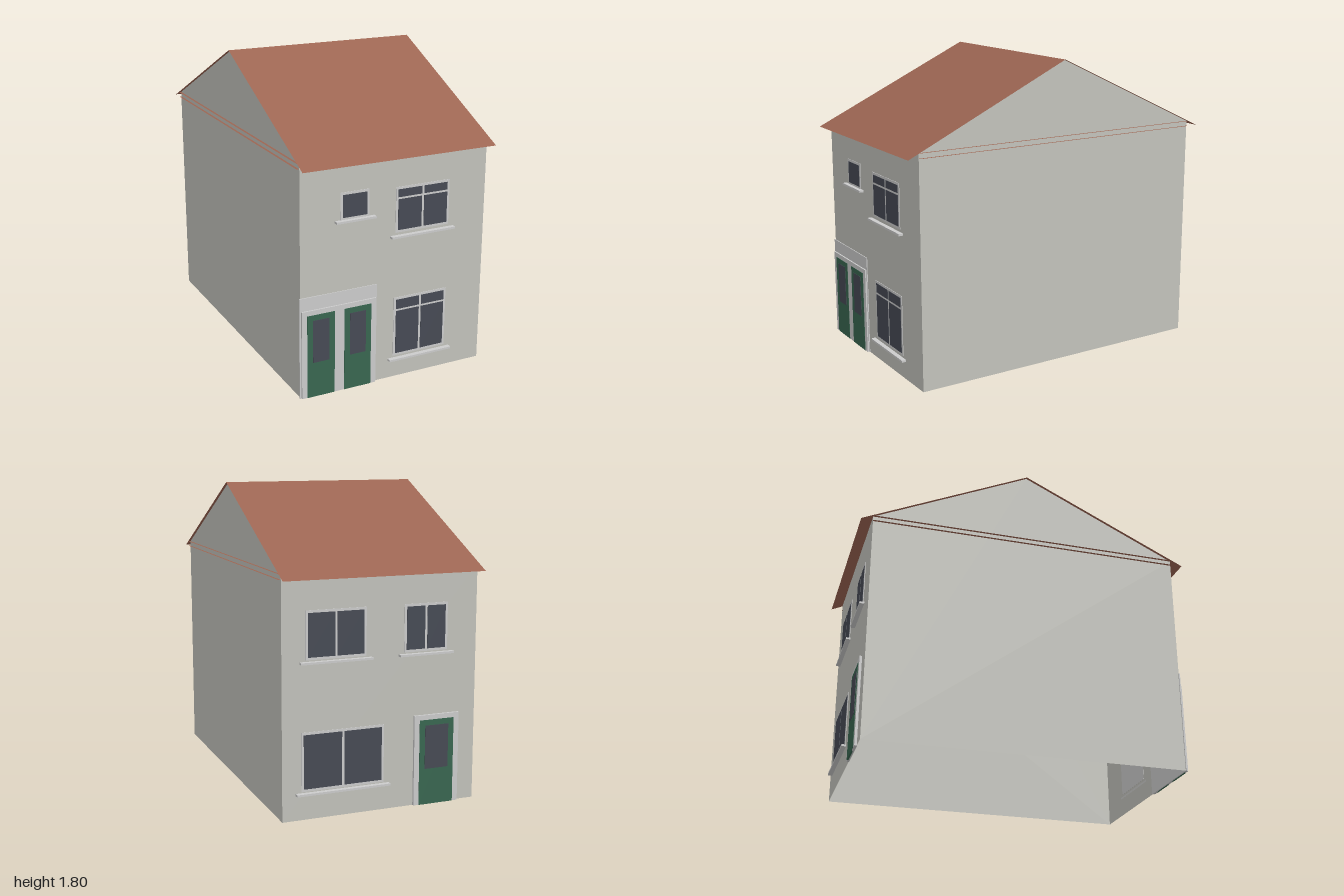
import * as THREE from 'three';

const mat = (color) => new THREE.MeshStandardMaterial({ color, side: THREE.DoubleSide, flatShading: true });

const W = 0.583, D = 0.93, WALL = 1.36; // half width, half depth, wall height
const ROOF_X = 0.597, EAVE = 1.33, RIDGE = 1.797;

export function createModel() {
  const house = new THREE.Group();
  house.name = 'house';
  const wallMat = mat(0xc2c2bb), trimMat = mat(0xcccccc), glassMat = mat(0x464a54);
  const doorMat = mat(0x386650), roofMat = mat(0x9c6552);

  const add = (parent, name, geometry, material) => {
    const mesh = new THREE.Mesh(geometry, material);
    mesh.name = name;
    parent.add(mesh);
    return mesh;
  };
  // Flat panel from a corner loop of [x, y, z] points
  const panel = (parent, name, pts, material) => {
    const g = new THREE.BufferGeometry();
    const tris = [];
    for (let i = 1; i < pts.length - 1; i++) tris.push(...pts[0], ...pts[i], ...pts[i + 1]);
    g.setAttribute('position', new THREE.Float32BufferAttribute(tris, 3));
    g.computeVertexNormals();
    return add(parent, name, g, material);
  };
  // Box on a facade, spanning x0..x1 and y0..y1, standing out from z0 to z1
  const block = (parent, name, x0, x1, y0, y1, z0, z1, material) => {
    const g = new THREE.BoxGeometry(x1 - x0, y1 - y0, z1 - z0);
    g.translate((x0 + x1) / 2, (y0 + y1) / 2, D + (z0 + z1) / 2);
    return add(parent, name, g, material);
  };

  // Open-bottomed walls, with gables reaching up under the roof
  for (const s of [1, -1]) {
    panel(house, s > 0 ? 'frontWall' : 'backWall',
      [[-s * W, 0, s * D], [s * W, 0, s * D], [s * W, WALL, s * D], [-s * W, WALL, s * D]], wallMat);
    panel(house, s > 0 ? 'leftGableWall' : 'rightGableWall',
      [[s * W, 0, s * D], [s * W, 0, -s * D], [s * W, WALL, -s * D], [s * W, RIDGE - 0.002, 0], [s * W, WALL, s * D]], wallMat);
    // Thin roof slopes
    panel(house, s > 0 ? 'frontRoofSlope' : 'backRoofSlope',
      [[-s * ROOF_X, EAVE, s], [s * ROOF_X, EAVE, s], [s * ROOF_X, RIDGE, 0], [-s * ROOF_X, RIDGE, 0]], roofMat);
    // Narrow ledges along the foot of each gable
    for (const y of [EAVE, WALL]) {
      panel(house, 'gableLedge',
        [[s * W, y, s * D], [s * ROOF_X, y, s * D], [s * ROOF_X, y, -s * D], [s * W, y, -s * D]], roofMat);
    }
  }

  // Window with evenly divided panes, optional transom bar, and a sill
  const addWindow = (facade, name, [x0, x1, y0, y1], lights, sillY, transomY) => {
    const win = new THREE.Group();
    win.name = name;
    facade.add(win);
    block(win, 'windowFrame', x0, x1, y0, y1, -0.002, 0.003, trimMat);
    const edge = 0.014, w = (x1 - x0 - edge * (lights + 1)) / lights;
    for (let i = 0; i < lights; i++) {
      const px = x0 + edge + i * (w + edge);
      const rows = transomY
        ? [[y0 + edge, transomY - 0.006], [transomY + 0.006, y1 - edge]]
        : [[y0 + edge, y1 - edge]];
      for (const [a, b] of rows) block(win, 'windowPane', px, px + w, a, b, 0, 0.005, glassMat);
    }
    block(win, 'windowSill', x0 - 0.033, x1 + 0.033, sillY - 0.006, sillY + 0.006, 0, 0.027, trimMat);
  };
  // Door leaf with a tall glazed panel
  const addDoor = (facade, x0, x1) => {
    const door = new THREE.Group();
    door.name = 'door';
    facade.add(door);
    block(door, 'doorLeaf', x0, x1, 0, 0.495, 0.005, 0.016, doorMat);
    block(door, 'doorPane', x0 + 0.034, x1 - 0.034, 0.21, 0.463, 0.01, 0.018, glassMat);
  };

  // Front: paired doors on a pale surround
  const front = new THREE.Group();
  front.name = 'frontFacade';
  house.add(front);
  block(front, 'doorSurround', -0.59, -0.113, 0, 0.6, -0.002, 0.005, trimMat);
  block(front, 'doorFrame', -0.58, -0.12, 0, 0.523, 0, 0.014, trimMat);
  addDoor(front, -0.548, -0.38);
  addDoor(front, -0.32, -0.152);
  addWindow(front, 'smallUpperWindow', [-0.343, -0.167, 1.01, 1.167], 1, 1.006);
  addWindow(front, 'largeUpperWindow', [0, 0.343, 0.885, 1.15], 2, 0.864, 1.085);
  addWindow(front, 'lowerWindow', [0, 0.343, 0.132, 0.493], 2, 0.114, 0.416);

  // Back: facade laid out facing forward, then turned around
  const back = new THREE.Group();
  back.name = 'backFacade';
  back.rotation.y = Math.PI;
  house.add(back);
  block(back, 'doorFrame', 0.2, 0.478, 0, 0.523, -0.002, 0.014, trimMat);
  addDoor(back, 0.232, 0.445);
  addWindow(back, 'upperWideWindow', [-0.448, -0.093, 0.89, 1.16], 2, 0.876);
  addWindow(back, 'upperNarrowWindow', [0.135, 0.4, 0.89, 1.16], 2, 0.876);
  addWindow(back, 'lowerWindow', [-0.473, 0.017, 0.16, 0.493], 2, 0.148);

  return house;
}
